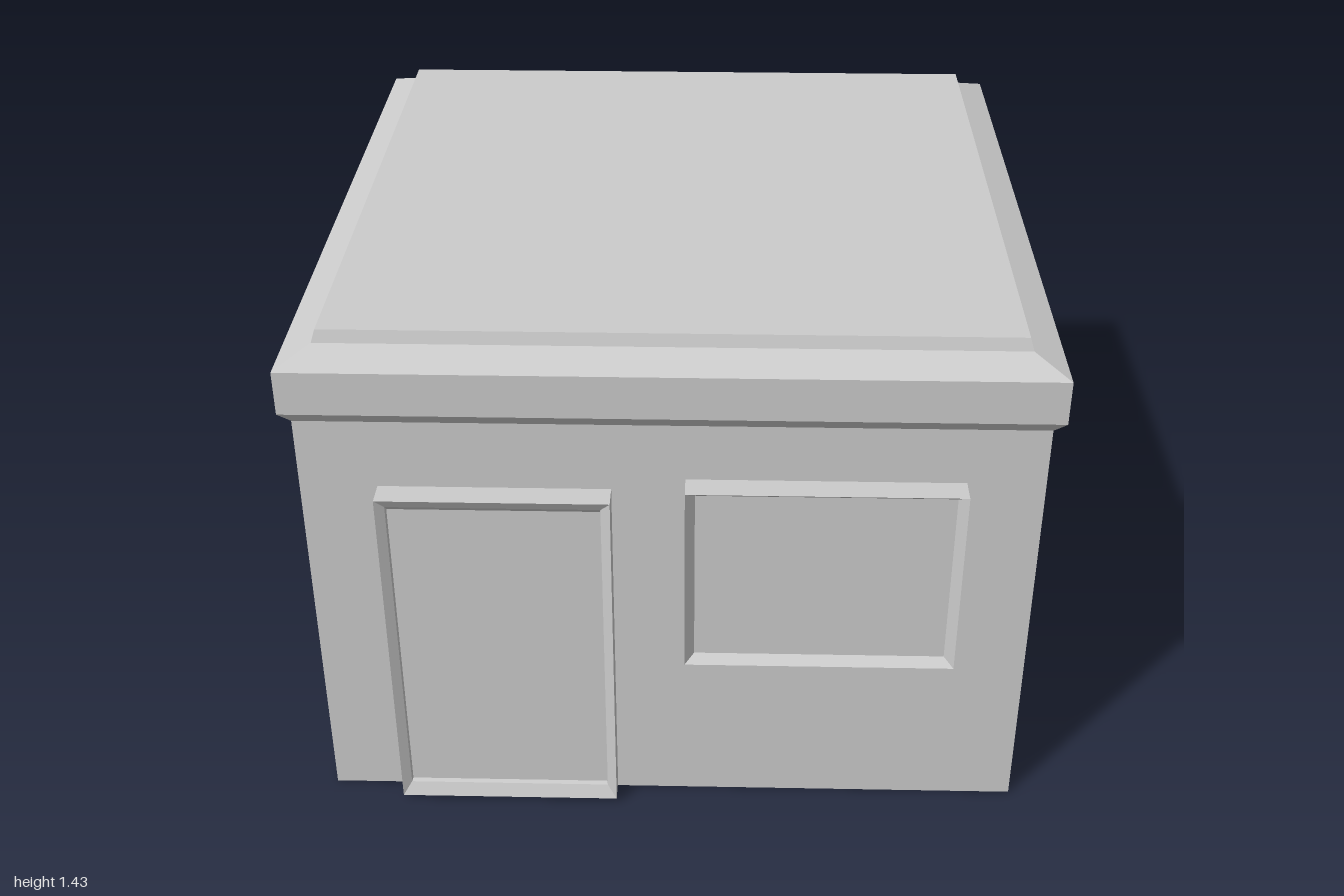
import * as THREE from 'three';

const material = new THREE.MeshStandardMaterial({ color: 0xcccccc, flatShading: true });

// Skin a list of four-cornered rings and close both ends.
// Corners run counter-clockwise as seen from the last ring's side.
function loft(name, rings) {
  const pos = [];
  const quad = (a, b, c, d) => [a, b, c, a, c, d].forEach(p => pos.push(...p));
  for (let i = 0; i < rings.length - 1; i++) {
    for (let k = 0; k < 4; k++) {
      const n = (k + 1) % 4;
      quad(rings[i][k], rings[i][n], rings[i + 1][n], rings[i + 1][k]);
    }
  }
  quad(...[...rings[0]].reverse());
  quad(...rings[rings.length - 1]);
  const geometry = new THREE.BufferGeometry();
  geometry.setAttribute('position', new THREE.Float32BufferAttribute(pos, 3));
  geometry.computeVertexNormals();
  const mesh = new THREE.Mesh(geometry, material);
  mesh.name = name;
  return mesh;
}

// Horizontal square ring, centred on the building's depth
const ZC = -0.02;
const floorRing = (y, h) => [
  [-h, y, ZC + h], [h, y, ZC + h], [h, y, ZC - h], [-h, y, ZC - h],
];

// Upright rectangular ring facing the front
const wallRing = (x0, x1, y0, y1, z) => [
  [x0, y0, z], [x1, y0, z], [x1, y1, z], [x0, y1, z],
];

export function createModel() {
  const model = new THREE.Group();
  model.name = 'building';

  // Walls
  model.add(loft('walls', [floorRing(0, 0.95), floorRing(1.205, 0.95)]));

  // Overhanging cornice with sloped eaves
  model.add(loft('cornice', [
    floorRing(1.205, 0.95), floorRing(1.24, 0.978),
    floorRing(1.36, 0.978), floorRing(1.397, 0.892),
  ]));

  // Raised roof slab
  model.add(loft('roofSlab', [floorRing(1.397, 0.892), floorRing(1.43, 0.882)]));

  // Door: projecting surround, bevelled inward to the panel
  model.add(loft('door', [
    wallRing(-0.75, -0.152, 0.015, 1.012, 0.92),
    wallRing(-0.75, -0.152, 0.015, 1.012, 1),
    wallRing(-0.726, -0.177, 0.053, 0.985, 0.985),
    wallRing(-0.724, -0.179, 0.055, 0.97, 0.972),
  ]));

  // Window: the same surround with a single bevel
  model.add(loft('window', [
    wallRing(0.037, 0.75, 0.5, 1.045, 0.92),
    wallRing(0.037, 0.75, 0.5, 1.045, 1),
    wallRing(0.062, 0.725, 0.521, 1.026, 0.975),
  ]));

  return model;
}
